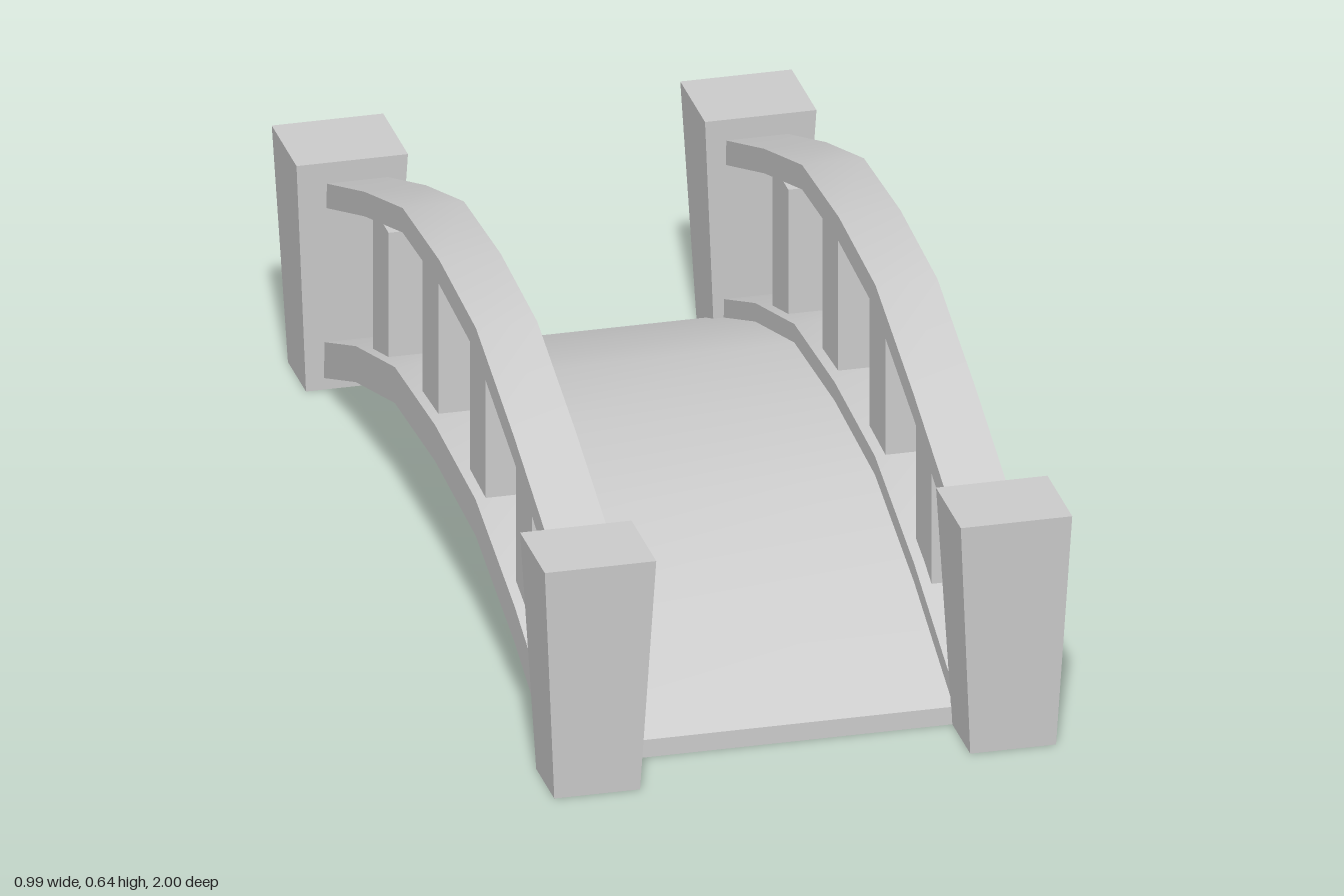
import * as THREE from 'three';
import { toCreasedNormals } from 'three/addons/utils/BufferGeometryUtils.js';

const material = new THREE.MeshStandardMaterial({ color: 0xcccccc });

// Bottom edges of the two arches as [z, y]
const deckArch = [[0.84, 0], [0.55, 0.12], [0.265, 0.206], [-0.03, 0.222],
  [-0.325, 0.206], [-0.61, 0.12], [-0.9, 0]];
const railArch = [[0.825, 0.372], [0.545, 0.481], [0.268, 0.573], [0, 0.589],
  [-0.268, 0.573], [-0.545, 0.481], [-0.825, 0.372]];

// Inner and outer x limits of each side of the bridge
const sides = [
  { name: 'right', x0: -0.438, x1: -0.323 },
  { name: 'left', x0: 0.311, x1: 0.427 },
];

function addMesh(parent, geometry, name) {
  const mesh = new THREE.Mesh(geometry, material);
  mesh.name = name;
  parent.add(mesh);
  return mesh;
}

// Curved band: the arch line thickened upwards and extruded from x0 to x1
function archBand(arch, thickness, x0, x1) {
  const lower = arch.map(([z, y]) => new THREE.Vector2(z, y));
  const upper = arch.map(([z, y]) => new THREE.Vector2(z, y + thickness)).reverse();
  const geometry = new THREE.ExtrudeGeometry(new THREE.Shape([...lower, ...upper]), {
    depth: x1 - x0, bevelEnabled: false, steps: 1,
  });
  geometry.rotateY(-Math.PI / 2).translate(x1, 0, 0);
  return toCreasedNormals(geometry, Math.PI / 6);
}

// Square post that narrows towards the ground
function taperedPost(width, height, depth) {
  const geometry = new THREE.BoxGeometry(width, height, depth).translate(0, height / 2, 0);
  const p = geometry.attributes.position;
  for (let i = 0; i < p.count; i++) {
    if (p.getY(i) < 0.001) p.setXYZ(i, p.getX(i) * 0.77, 0, p.getZ(i) * 0.73);
  }
  geometry.computeVertexNormals();
  return geometry;
}

export function createModel() {
  const bridge = new THREE.Group();
  bridge.name = 'archedBridge';

  // Walkway between the side beams
  addMesh(bridge, archBand(deckArch, 0.035, sides[0].x1, sides[1].x0), 'deck');

  // Balusters as [centre z, bottom y, top y]
  const balusters = [[0.543, 0.165, 0.49], [0.206, 0.25, 0.59],
    [-0.14, 0.25, 0.59], [-0.504, 0.18, 0.49]];

  for (const { name, x0, x1 } of sides) {
    const side = new THREE.Group();
    side.name = name + 'Railing';
    bridge.add(side);
    addMesh(side, archBand(deckArch, 0.072, x0, x1), 'sideBeam');
    addMesh(side, archBand(railArch, 0.049, x0, x1), 'handrail');
    for (const [z, y0, y1] of balusters) {
      const baluster = addMesh(side, new THREE.BoxGeometry(0.076, y1 - y0, 0.115), 'baluster');
      baluster.position.set((x0 + x1) / 2, (y0 + y1) / 2, z);
    }
  }

  // Corner posts
  const posts = [['frontRightPost', -0.391, 0.905], ['frontLeftPost', 0.389, 0.905],
    ['backRightPost', -0.391, -0.91], ['backLeftPost', 0.375, -0.91]];
  for (const [name, x, z] of posts) {
    addMesh(bridge, taperedPost(0.209, 0.465, 0.181), name).position.set(x, 0, z);
  }

  return bridge;
}
